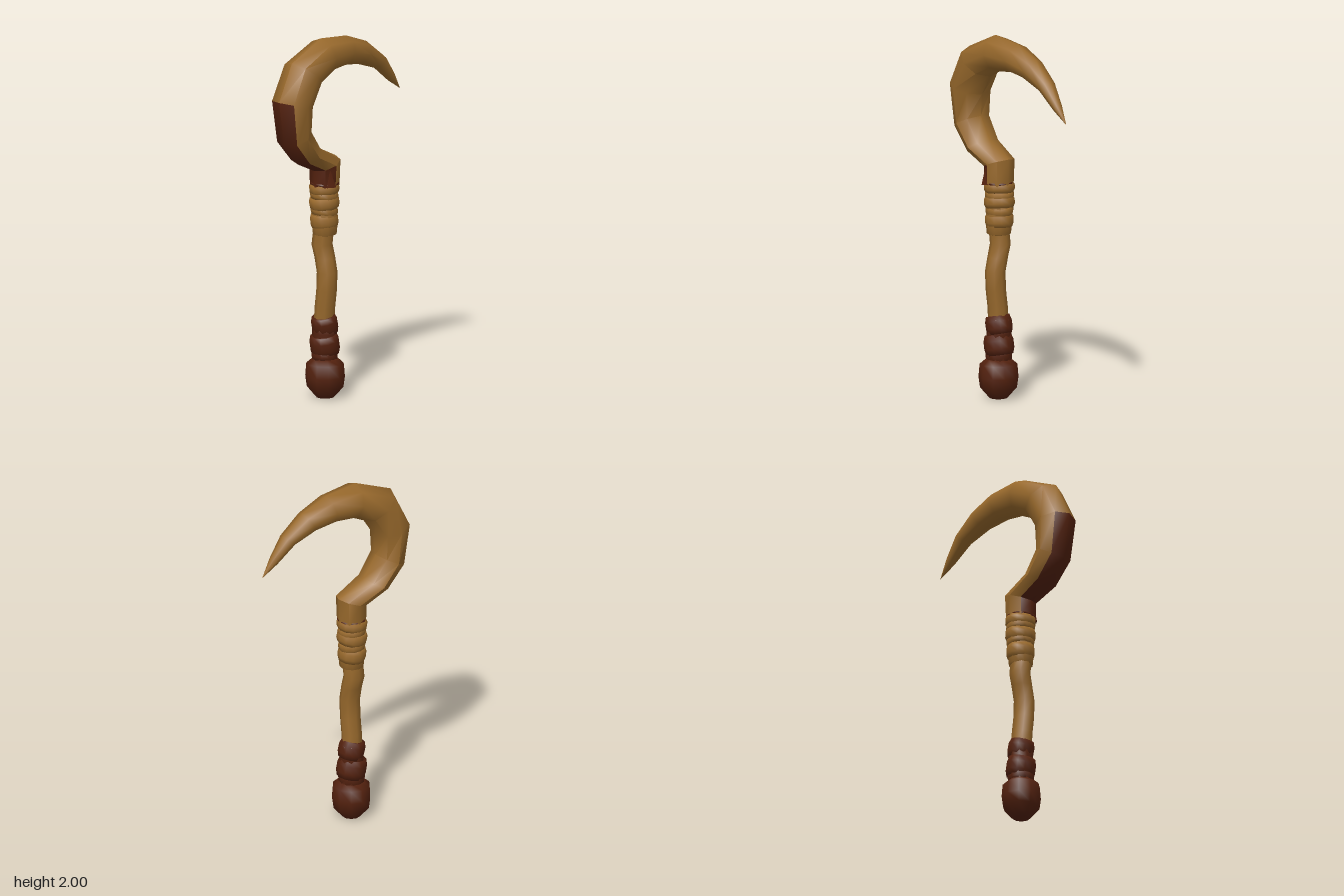
import * as THREE from 'three';
import { toCreasedNormals } from 'three/addons/utils/BufferGeometryUtils.js';

const wood = new THREE.MeshStandardMaterial({ color: 0x98692c });
wood.name = 'tan wood';
const leather = new THREE.MeshStandardMaterial({ color: 0x53210e });
leather.name = 'dark leather';

const SIDES = 8;

// Loft of oval sections [outerX, outerY, innerX, innerY, halfDepth, centreZ].
// isDark(section, side) chooses the second material.
function loft(sections, isDark = () => false) {
  const pos = [], faces = [[], []];
  for (const [ox, oy, ix, iy, hz, cz = 0] of sections) {
    for (let k = 0; k < SIDES; k++) {
      const a = (k / SIDES) * Math.PI * 2, c = Math.cos(a) / 2;
      pos.push((ox + ix) / 2 + c * (ox - ix), (oy + iy) / 2 + c * (oy - iy), cz + hz * Math.sin(a));
    }
  }
  for (let i = 0; i < sections.length - 1; i++) {
    for (let k = 0; k < SIDES; k++) {
      const n = (k + 1) % SIDES, r = i * SIDES, t = r + SIDES;
      faces[isDark(i, k) ? 1 : 0].push(r + k, r + n, t + n, r + k, t + n, t + k);
    }
  }
  const geo = new THREE.BufferGeometry();
  geo.setAttribute('position', new THREE.Float32BufferAttribute(pos, 3));
  geo.setIndex([...faces[0], ...faces[1]]);
  geo.addGroup(0, faces[0].length, 0);
  geo.addGroup(faces[0].length, faces[1].length, 1);
  return toCreasedNormals(geo, 0.9);
}

function add(group, name, geo, material, x = 0, y = 0, z = 0) {
  const mesh = new THREE.Mesh(geo, material);
  mesh.name = name;
  mesh.position.set(x, y, z);
  group.add(mesh);
  return mesh;
}

// Closed turned shape from [radius, y] pairs, bottom to top
function turned(points, sides = 10) {
  return new THREE.LatheGeometry(points.map(([r, y]) => new THREE.Vector2(r, y)), sides);
}

// Bulging band of cord or leather around the handle
function band(r, h) {
  return turned([[r * 0.6, -h / 2], [r * 0.88, -h / 2], [r, -h * 0.2], [r, h * 0.2], [r * 0.88, h / 2], [r * 0.6, h / 2]], 12);
}

export function createModel() {
  const model = new THREE.Group();
  model.name = 'sickle';
  const cx = -0.12;

  // Curved blade growing out of the neck, with a dark outer edge low down
  const blade = [
    [-0.2, 1.18, -0.04, 1.18, 0.08],
    [-0.2, 1.27, -0.035, 1.33, 0.085],
    [-0.33, 1.33, -0.2, 1.41, 0.1],
    [-0.44, 1.45, -0.28, 1.53, 0.105],
    [-0.48, 1.7, -0.27, 1.65, 0.115],
    [-0.38, 1.9, -0.2, 1.76, 0.11],
    [-0.15, 2.0, -0.11, 1.805, 0.1],
    [0.05, 1.98, 0.02, 1.82, 0.085],
    [0.21, 1.92, 0.14, 1.805, 0.066],
    [0.34, 1.82, 0.27, 1.76, 0.048],
    [0.42, 1.71, 0.38, 1.67, 0.025],
    [0.475, 1.61, 0.474, 1.61, 0.001],
  ];
  const darkEdge = (i, k) => (i === 0 && (k < 2 || k === 7)) || (i < 4 && (k === 0 || k === 7));
  add(model, 'blade', loft(blade, darkEdge), [wood, leather]);

  // Small dark wedge standing out at the front of the neck
  const wedge = add(model, 'neckWedge', new THREE.ConeGeometry(0.035, 0.1, 4), leather, -0.145, 1.235, 0.068);
  wedge.rotation.z = 0.1;

  // Slightly crooked shaft
  const shaft = [[0.4, 0], [0.5, 0.005], [0.6, 0.018], [0.7, 0.022], [0.78, 0.005], [0.85, -0.014], [0.96, 0]]
    .map(([y, z], i) => [-0.182 + (i === 5 ? -0.004 : 0), y, -0.066, y, 0.054, z]);
  add(model, 'shaft', loft(shaft), [wood, leather]);

  // Cord binding under the blade
  add(model, 'bindingBase', turned([[0.05, 0.905], [0.066, 0.91], [0.072, 0.97], [0.068, 1.2], [0, 1.2]], 12), wood, cx);
  const cords = [[0.985, 0.078, 0.08, 0.1], [1.04, 0.076, 0.06, -0.2], [1.085, 0.084, 0.07, 0.16],
    [1.125, 0.079, 0.055, -0.16], [1.165, 0.084, 0.06, 0.1]];
  for (const [y, r, h, tilt] of cords) {
    const cord = add(model, 'cord', band(r, h), wood, cx, y, -0.003);
    cord.rotation.set(-tilt * 0.5, 0, tilt);
  }
  add(model, 'darkCord', band(0.079, 0.022), leather, cx, 1.192);

  // Leather grip with a rounded pommel
  add(model, 'pommel', turned([[0, 0], [0.05, 0.003], [0.1, 0.06], [0.108, 0.12], [0.102, 0.19], [0.066, 0.22], [0, 0.22]]),
    leather, cx, 0, 0.003);
  add(model, 'grip', turned([[0.07, 0.18], [0.068, 0.36], [0.066, 0.44], [0, 0.445]]), leather, cx);
  const wraps = [[0.24, 0.072, 0.08, -0.15], [0.295, 0.082, 0.11, 0.2], [0.405, 0.073, 0.1, 0.25]];
  for (const [y, r, h, tilt] of wraps) {
    add(model, 'gripWrap', band(r, h), leather, cx, y, 0).rotation.z = tilt;
  }

  return model;
}
